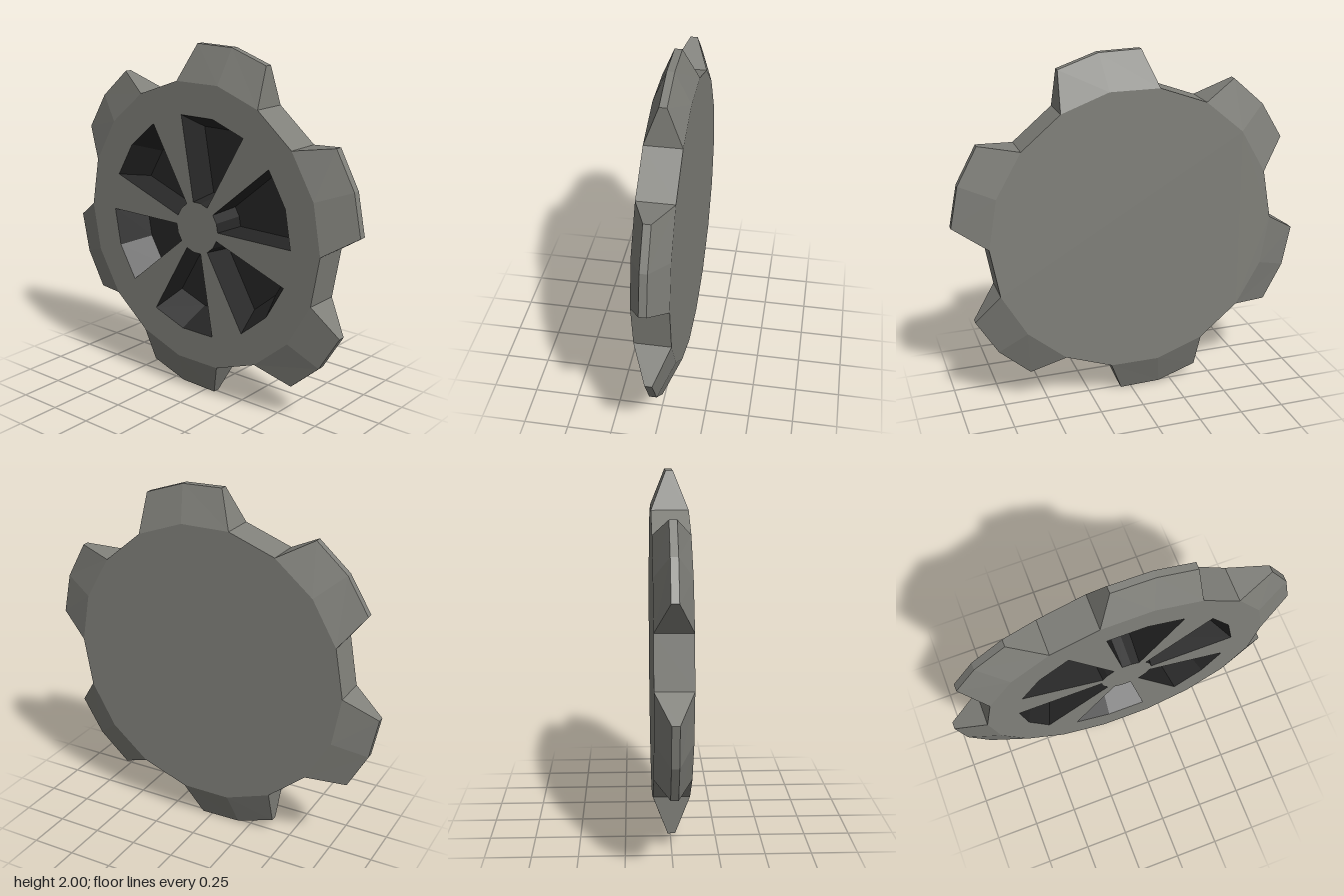
import * as THREE from 'three';

const RIM = 0.813, HALF = 0.1;              // body radius and half thickness
const TIP_HALF = 0.02;                      // half thickness at the tooth tips
const HOLE_OUT = 0.63, HOLE_IN = 0.147;     // pocket radii on the front face
const FLOOR_OUT = 0.54, FLOOR_IN = 0.165, FLOOR_Z = -0.08;

// point from radius, angle in degrees and z
const P = (r, deg, z) => {
  const a = THREE.MathUtils.degToRad(deg);
  return [r * Math.cos(a), r * Math.sin(a), z];
};

// flat-shaded geometry from a list of four-cornered faces
function faces(quads) {
  const pos = [];
  for (const [a, b, c, d] of quads) pos.push(...a, ...b, ...c, ...a, ...c, ...d);
  const g = new THREE.BufferGeometry();
  g.setAttribute('position', new THREE.Float32BufferAttribute(pos, 3));
  g.computeVertexNormals();
  return g;
}

const outline = (points, Type) => new Type(points.map(([x, y]) => new THREE.Vector2(x, y)));

// tapering tooth spanning 40 degrees of the rim
function toothGeometry() {
  const sections = [[60, 66.6, 1.002], [80, 80, 1.01], [100, 93.4, 1.002]].map(([b, t, r]) => ({
    bf: P(RIM, b, HALF), bb: P(RIM, b, -HALF),
    tf: P(r, t, TIP_HALF), tb: P(r, t, -TIP_HALF),
  }));
  const q = [];
  for (let i = 0; i < 2; i++) {
    const l = sections[i], h = sections[i + 1];
    q.push([l.bf, l.tf, h.tf, h.bf]);   // front slope
    q.push([h.bb, h.tb, l.tb, l.bb]);   // back slope
    q.push([l.tb, h.tb, h.tf, l.tf]);   // tip
  }
  const s = sections[0], e = sections[2];
  q.push([s.bb, s.tb, s.tf, s.bf], [e.bf, e.tf, e.tb, e.bb]);
  return faces(q);
}

// dark recess with sloping inner and outer walls
function pocketGeometry() {
  const sections = [60, 80, 100].map((a) => ({
    of: P(HOLE_OUT, a, HALF), inf: P(HOLE_IN, a, HALF),
    ob: P(FLOOR_OUT, a, FLOOR_Z), inb: P(FLOOR_IN, a, FLOOR_Z),
  }));
  const q = [];
  for (let i = 0; i < 2; i++) {
    const l = sections[i], h = sections[i + 1];
    q.push([l.inb, l.ob, h.ob, h.inb]);   // floor
    q.push([h.ob, l.ob, l.of, h.of]);     // outer wall
    q.push([l.inb, h.inb, h.inf, l.inf]); // hub wall
  }
  const s = sections[0], e = sections[2];
  q.push([s.inb, s.inf, s.of, s.ob], [e.ob, e.of, e.inf, e.inb]);
  return faces(q);
}

export function createModel() {
  const metal = new THREE.MeshStandardMaterial({ color: 0x80807a });
  metal.name = 'grey metal';
  const dark = new THREE.MeshStandardMaterial({ color: 0x262626 });
  dark.name = 'dark recess';

  const gear = new THREE.Group();
  gear.name = 'gearWheel';
  gear.position.y = 1;
  const add = (name, geometry, material, turn = 0) => {
    const m = new THREE.Mesh(geometry, material);
    m.name = name;
    m.rotation.z = THREE.MathUtils.degToRad(turn);
    gear.add(m);
    return m;
  };

  // front face with six wedge openings
  const rimPoints = Array.from({ length: 18 }, (_, i) => P(RIM, i * 20, 0));
  const front = outline(rimPoints, THREE.Shape);
  for (let k = 0; k < 6; k++) {
    const wedge = [
      ...[60, 80, 100].map((a) => P(HOLE_OUT, a + k * 60, 0)),
      ...[100, 80, 60].map((a) => P(HOLE_IN, a + k * 60, 0)),
    ];
    front.holes.push(outline(wedge, THREE.Path));
  }
  add('frontFace', new THREE.ShapeGeometry(front), metal).position.z = HALF;

  // plain back face
  const back = new THREE.ShapeGeometry(outline(rimPoints, THREE.Shape));
  back.rotateY(Math.PI);
  // the mirrored outline still matches the rim, which has 18 even sides
  add('backFace', back, metal).position.z = -HALF;

  // teeth, rim between the teeth, and pockets
  const tooth = toothGeometry(), pocket = pocketGeometry();
  const gap = faces([[P(RIM, 40, -HALF), P(RIM, 60, -HALF), P(RIM, 60, HALF), P(RIM, 40, HALF)]]);
  for (let k = 0; k < 6; k++) {
    add('tooth', tooth, metal, k * 60);
    add('rimGap', gap, metal, k * 60);
    add('spokePocket', pocket, dark, k * 60);
  }

  const model = new THREE.Group();
  model.name = 'model';
  model.add(gear);
  return model;
}
